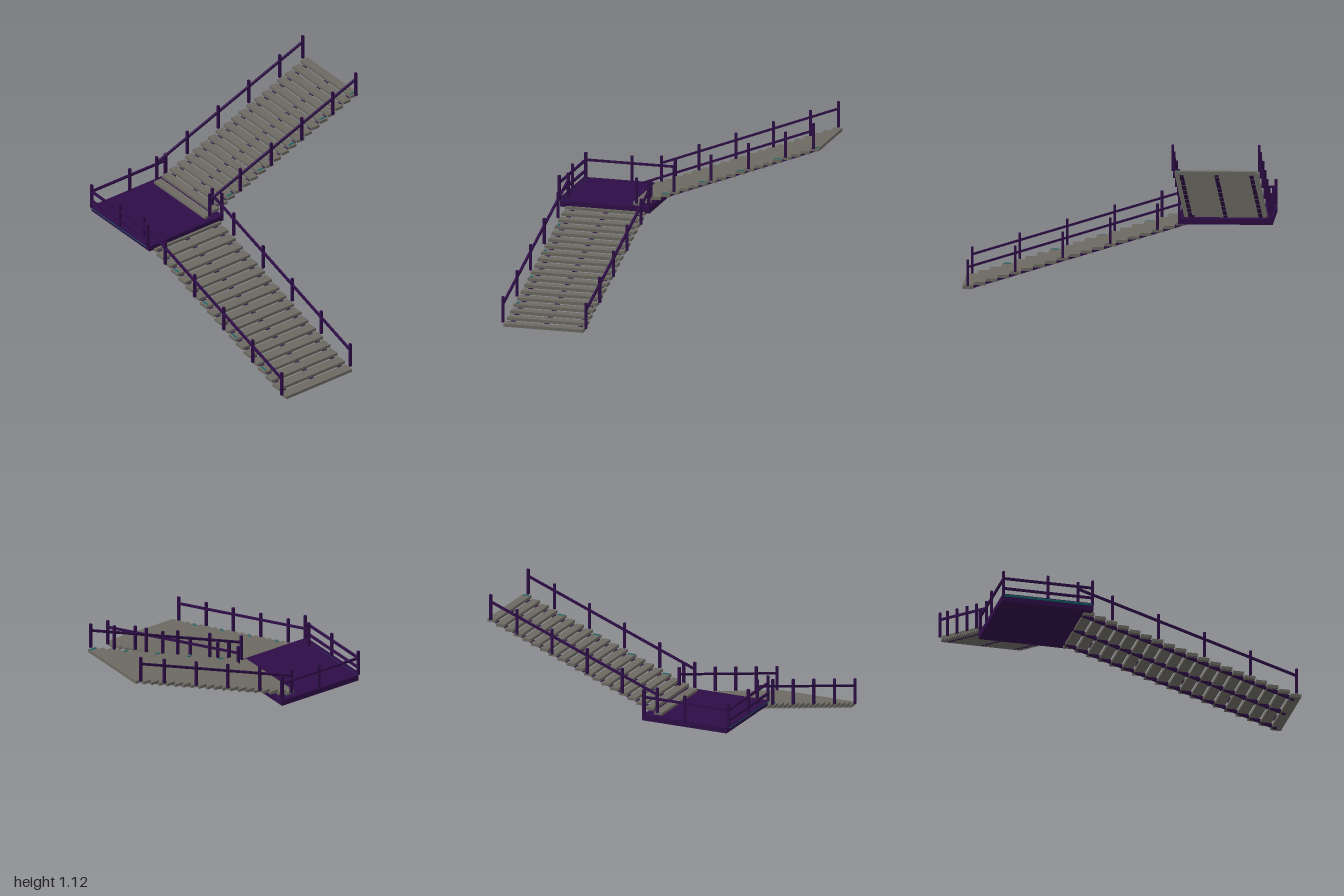
import * as THREE from 'three';

const paint = (name, color) => {
  const m = new THREE.MeshStandardMaterial({ color });
  m.name = name;
  return m;
};

export function createModel() {
  const purple = paint('purple steel', 0x2e0d47);
  const grey = paint('grey plank', 0x6b6961);
  const teal = paint('teal light', 0x0f6a70);

  const box = (parent, name, mat, size, pos) => {
    const mesh = new THREE.Mesh(new THREE.BoxGeometry(...size), mat);
    mesh.name = name;
    mesh.position.set(...pos);
    parent.add(mesh);
    return mesh;
  };

  // One flight of 20 treads climbing along local +x from its first tread
  const flight = (name, run, rise, depth, lightSide) => {
    const g = new THREE.Group();
    g.name = name;
    const last = 19, width = 0.532, railZ = 0.278;
    const length = Math.hypot(run, rise), tilt = Math.atan2(rise, run);

    for (let i = 0; i <= last; i++) {
      const x = run * i / last, y = rise * i / last;
      box(g, 'tread', grey, [depth, 0.02, width], [x, y, 0]);
      // small light on every fourth tread
      if (i % 4 === 3) box(g, 'stepLight', teal, [0.045, 0.004, 0.008], [x, y + 0.012, lightSide * 0.247]);
      // handrail posts on both sides
      if (i % 4 === 0 || i === last) {
        for (const s of [-1, 1]) box(g, 'railPost', purple, [0.016, 0.17, 0.016], [x, y + 0.095, s * railZ]);
      }
    }
    // sloping members: handrails and stringers
    const sloped = (part, h, w, y, z) => {
      box(g, part, purple, [length, h, w], [run / 2, rise / 2 + y, z]).rotation.z = tilt;
    };
    for (const s of [-1, 1]) sloped('handrail', 0.014, 0.014, 0.133, s * railZ);
    for (const z of [-0.225, 0, 0.225]) sloped('stringer', 0.018, 0.024, -0.01, z);
    return g;
  };

  const model = new THREE.Group();
  model.name = 'staircase';

  const lower = flight('lowerFlight', 1.448, 0.446, 0.071, -1);
  lower.position.set(-0.548, 0.02, 0.965);
  lower.rotation.y = Math.PI / 2;
  const upper = flight('upperFlight', 1.187, 0.455, 0.058, 1);
  upper.position.set(-0.346, 0.49, -0.69);
  model.add(lower, upper);

  // Landing between the flights
  const landing = new THREE.Group();
  landing.name = 'landing';
  model.add(landing);
  box(landing, 'platform', purple, [0.6, 0.038, 0.608], [-0.553, 0.463, -0.692]);

  // Back guard: three posts and one rail
  for (const x of [-0.86, -0.55]) box(landing, 'guardPost', purple, [0.016, 0.17, 0.016], [x, 0.565, -0.985]);
  box(landing, 'cornerPost', purple, [0.018, 0.205, 0.018], [-0.26, 0.5475, -0.985]);
  box(landing, 'backRail', purple, [0.6, 0.014, 0.014], [-0.56, 0.6, -0.985]);

  // Side guard: posts, two rails and a lit kerb
  for (const z of [-0.69, -0.395]) box(landing, 'guardPost', purple, [0.016, 0.17, 0.016], [-0.86, 0.565, z]);
  for (const y of [0.6, 0.53]) box(landing, 'sideRail', purple, [0.014, 0.014, 0.59], [-0.86, y, -0.69]);
  box(landing, 'kerbLight', teal, [0.022, 0.006, 0.58], [-0.86, 0.481, -0.69]);
  box(landing, 'kerb', purple, [0.022, 0.004, 0.58], [-0.86, 0.486, -0.69]);

  // Post at the inner corner, between the flights
  box(landing, 'innerPost', purple, [0.018, 0.205, 0.018], [-0.26, 0.5475, -0.395]);

  return model;
}
